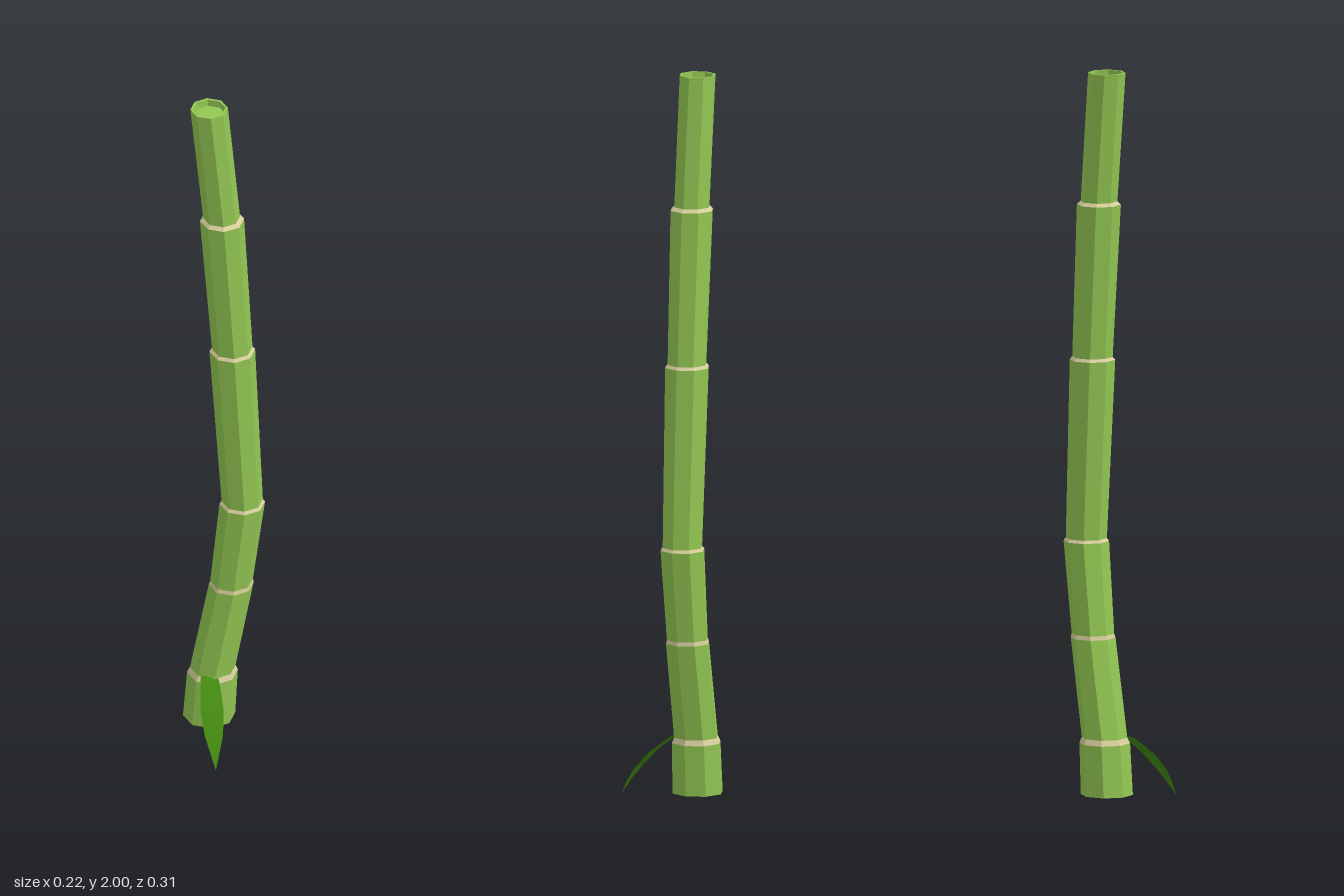
import * as THREE from 'three';

const SIDES = 8;
const STALK_Z = -0.082;

const mat = (color, side = THREE.FrontSide) =>
  new THREE.MeshStandardMaterial({ color, flatShading: true, side });

// Leaning tapered tube between two level octagonal rings {x, y, r}
function segment(name, a, b, material, inward = false) {
  const h = b.y - a.y;
  const g = new THREE.CylinderGeometry(b.r, a.r, h, SIDES, 1, true);
  const p = g.attributes.position;
  for (let i = 0; i < p.count; i++) {
    const t = p.getY(i) / h + 0.5;
    p.setX(i, p.getX(i) + a.x + (b.x - a.x) * t);
    p.setY(i, a.y + h * t);
  }
  if (inward) g.index.array.reverse();
  g.computeVertexNormals();
  const mesh = new THREE.Mesh(g, material);
  mesh.name = name;
  return mesh;
}

// Level octagonal disc or annulus
function disc(name, x, y, inner, outer, material, up = true) {
  const g = inner > 0
    ? new THREE.RingGeometry(inner, outer, SIDES, 1)
    : new THREE.CircleGeometry(outer, SIDES);
  g.rotateX(up ? -Math.PI / 2 : Math.PI / 2);
  const mesh = new THREE.Mesh(g, material);
  mesh.name = name;
  mesh.position.set(x, y, 0);
  return mesh;
}

export function createModel() {
  const model = new THREE.Group();
  model.name = 'bambooStalk';
  const green = mat(0x92c652);
  const beige = mat(0xd6cc9c);
  const leafGreen = mat(0x438a10, THREE.DoubleSide);

  // Stalk sections: bottom and top of each, as [x, y, radius]
  const sections = [
    [[-0.043, 0.025, 0.071], [-0.034, 0.165, 0.069]],
    [[-0.033, 0.18, 0.062], [0.017, 0.447, 0.061]],
    [[0.018, 0.458, 0.058], [0.047, 0.708, 0.062]],
    [[0.047, 0.716, 0.056], [0.02, 1.207, 0.062]],
    [[0.02, 1.215, 0.055], [-0.008, 1.635, 0.06]],
    [[-0.009, 1.644, 0.05], [-0.043, 2.0, 0.051]],
  ].map(s => s.map(([x, y, r]) => ({ x, y, r })));

  const stalk = new THREE.Group();
  stalk.name = 'stalk';
  stalk.position.z = STALK_Z;
  model.add(stalk);
  sections.forEach(([low, high], i) => {
    stalk.add(segment('stalkSection' + (i + 1), low, high, green));
    // Pale sloping ring at each joint
    if (i < sections.length - 1)
      stalk.add(segment('jointRing' + (i + 1), high, sections[i + 1][0], beige));
  });

  // Closed base and hollow cut top
  const base = sections[0][0];
  const top = sections[sections.length - 1][1];
  stalk.add(disc('baseCap', base.x, base.y, 0, base.r, green, false));
  stalk.add(disc('topRim', top.x, top.y, 0.044, top.r, green));
  const floor = { x: top.x + 0.002, y: top.y - 0.02, r: 0.043 };
  stalk.add(segment('hollowWall', floor, { x: top.x, y: top.y, r: 0.044 }, green, true));
  stalk.add(disc('hollowFloor', floor.x, floor.y, 0, floor.r, green));

  // Drooping thin leaf: [z, y, half width] along its length
  const rows = [
    [-0.032, 0.184, 0.022],
    [-0.01, 0.175, 0.026],
    [0.053, 0.127, 0.031],
    [0.1, 0.078, 0.025],
    [0.13, 0.037, 0.012],
    [0.152, 0, 0.0005],
  ];
  const positions = [];
  const index = [];
  rows.forEach(([z, y, w], i) => {
    positions.push(-0.048 - w, y, z, -0.048 + w, y, z);
    if (i > 0) {
      const k = 2 * i;
      index.push(k - 2, k, k - 1, k - 1, k, k + 1);
    }
  });
  const leafGeometry = new THREE.BufferGeometry();
  leafGeometry.setAttribute('position', new THREE.Float32BufferAttribute(positions, 3));
  leafGeometry.setIndex(index);
  leafGeometry.computeVertexNormals();
  const leaf = new THREE.Mesh(leafGeometry, leafGreen);
  leaf.name = 'leaf';
  model.add(leaf);

  return model;
}
